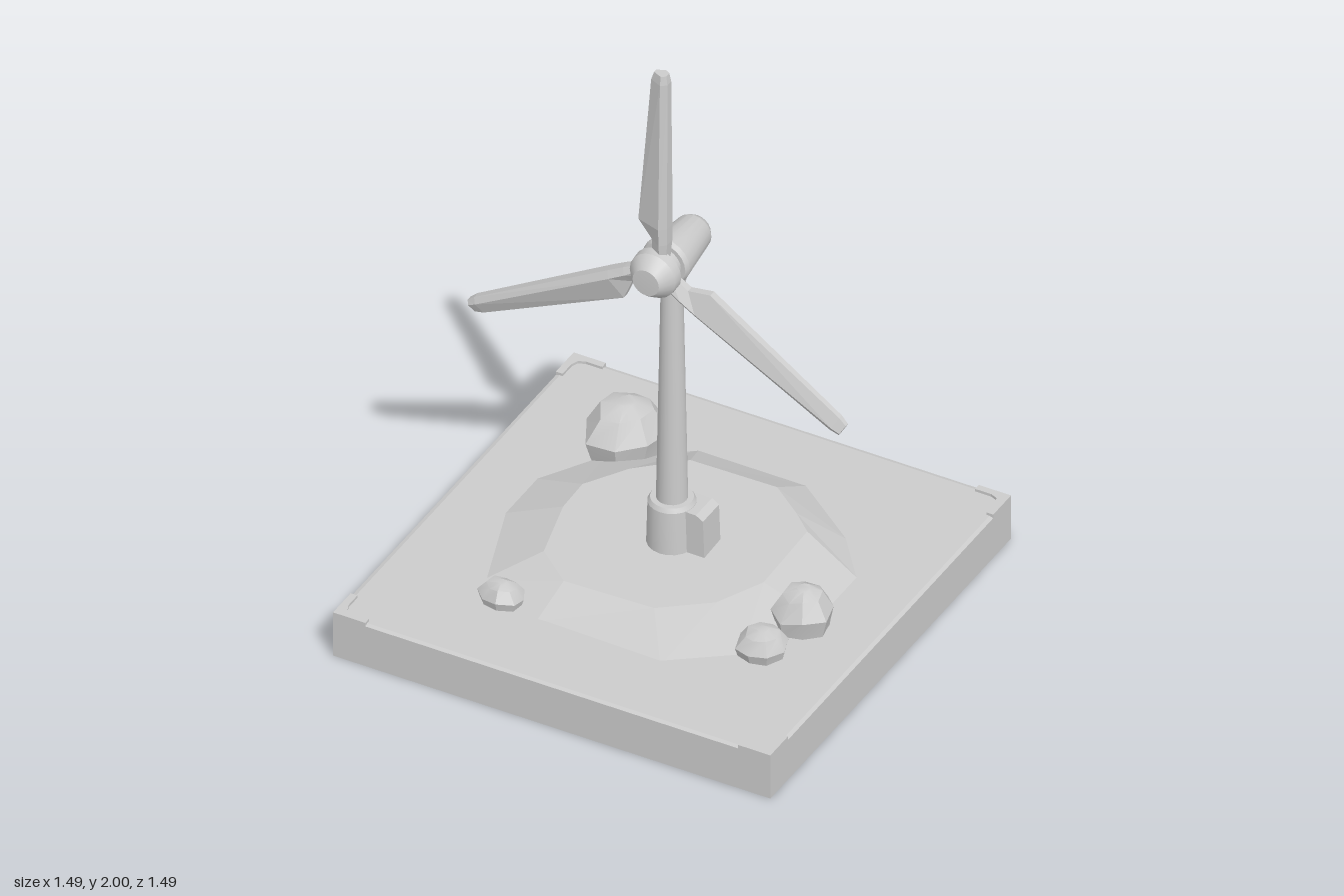
import * as THREE from 'three';
import { toCreasedNormals } from 'three/addons/utils/BufferGeometryUtils.js';

const smooth = new THREE.MeshStandardMaterial({ color: 0xcccccc });
const flat = new THREE.MeshStandardMaterial({ color: 0xcccccc, flatShading: true });

function add(parent, name, geometry, material = smooth) {
  const mesh = new THREE.Mesh(geometry, material);
  mesh.name = name;
  parent.add(mesh);
  return mesh;
}

// Skins a stack of equal-length rings, counter-clockwise about the stacking direction
function loft(rings) {
  const n = rings[0].length;
  const index = [];
  for (let r = 0; r < rings.length - 1; r++) {
    for (let i = 0; i < n; i++) {
      const a = r * n + i, b = r * n + (i + 1) % n;
      index.push(a, b, b + n, a, b + n, a + n);
    }
  }
  const last = (rings.length - 1) * n;
  for (let i = 1; i < n - 1; i++) {
    index.push(0, i + 1, i, last, last + i, last + i + 1);
  }
  const geo = new THREE.BufferGeometry();
  geo.setAttribute('position', new THREE.Float32BufferAttribute(rings.flat(2), 3));
  geo.setIndex(index);
  geo.computeVertexNormals();
  return geo;
}

// Turned solid with crisp rims; profile is [radius, height] from bottom to top
function turned(profile, sides = 20) {
  const geo = new THREE.LatheGeometry(profile.map(([r, y]) => new THREE.Vector2(r, y)), sides);
  return toCreasedNormals(geo, 0.45);
}

function extrude(points, depth) {
  const shape = new THREE.Shape(points.map(([x, y]) => new THREE.Vector2(x, y)));
  return new THREE.ExtrudeGeometry(shape, { depth, bevelEnabled: false });
}

function square(h, y) {
  return [[h, y, h], [h, y, -h], [-h, y, -h], [-h, y, h]];
}

// Faceted boulder: squashed rings with a repeatable wobble
function rock(cx, cz, rx, rz, top, seed) {
  const bottom = 0.13, sides = 8;
  const rings = [[0, 0.8], [0.2, 0.88], [0.5, 1], [0.86, 0.64], [0.99, 0.22]].map(([h, r], level) =>
    Array.from({ length: sides }, (_, i) => {
      const a = ((i + seed * 0.3) / sides) * Math.PI * 2;
      const wobble = 1 + 0.07 * Math.sin(i * 2.3 + seed * 1.7 + level * 0.4);
      const lift = level > 0 && level < 4 ? 0.06 * Math.sin(i * 1.9 + seed) : 0;
      return [cx + rx * r * wobble * Math.cos(a),
        bottom + (top - bottom) * (h + lift),
        cz - rz * r * wobble * Math.sin(a)];
    }));
  return toCreasedNormals(loft(rings), 0.5);
}

// One blade along +y: broad trailing edge on -x, thick ridge near the leading edge
function bladeGeometry() {
  const sections = [
    // height, trailing x, leading x, half thickness
    [0.03, -0.022, 0.03, 0.025],
    [0.11, -0.018, 0.036, 0.033],
    [0.17, -0.065, 0.037, 0.035],
    [0.7, -0.023, 0.035, 0.024],
    [0.73, -0.014, 0.03, 0.019],
  ];
  return loft(sections.map(([y, back, front, t]) => {
    const ridge = Math.min(0.016, front - 0.012);
    return [
      [back, y, 0.3 * t], [ridge, y, t], [front, y, 0.5 * t],
      [front, y, -0.5 * t], [ridge, y, -t], [back, y, -0.4 * t],
    ];
  }));
}

export function createModel() {
  const model = new THREE.Group();
  model.name = 'windTurbine';

  // Square plinth with a slight bevel
  add(model, 'plinth', loft([square(0.745, 0), square(0.745, 0.147), square(0.732, 0.151)]), flat);

  // Raised corner brackets with a rounded inner corner
  const bracket = extrude([
    [0.745, 0.745], [0.635, 0.745], [0.635, 0.722], [0.69, 0.722],
    [0.713, 0.713], [0.722, 0.69], [0.722, 0.635], [0.745, 0.635],
  ], 0.03).rotateX(-Math.PI / 2).translate(0, 0.13, 0);
  for (let i = 0; i < 4; i++) {
    add(model, 'cornerBracket', bracket, flat).rotation.y = i * Math.PI / 2;
  }

  // Low mound with a tilted top
  const moundFoot = [[0.18, -0.51], [-0.19, -0.51], [-0.42, -0.36], [-0.55, -0.15], [-0.55, 0.05], [-0.44, 0.37],
    [-0.2, 0.48], [0.23, 0.49], [0.42, 0.35], [0.545, 0.06], [0.545, -0.17], [0.42, -0.33]];
  const moundTop = [[0.16, -0.36], [-0.13, -0.35], [-0.27, -0.23], [-0.36, -0.1], [-0.36, 0.02], [-0.31, 0.23],
    [-0.19, 0.325], [0.11, 0.31], [0.26, 0.2], [0.34, 0.05], [0.34, -0.22], [0.27, -0.28]];
  add(model, 'mound', loft([
    moundFoot.map(([x, z]) => [x, 0.147, z]),
    moundTop.map(([x, z]) => [x, 0.216 - 0.05 * z - 0.015 * x, z]),
  ]), flat);

  // Boulders: centre x, centre z, radii, top height, seed
  [
    [-0.38, -0.41, 0.13, 0.135, 0.33, 1],
    [0.51, 0.11, 0.093, 0.1, 0.29, 2],
    [0.467, 0.287, 0.078, 0.088, 0.235, 3],
    [-0.338, 0.438, 0.075, 0.063, 0.222, 4],
  ].forEach((r) => add(model, 'boulder', rock(...r)));

  // Tower: footing, tapering mast and the collar under the nacelle
  add(model, 'towerFooting', turned([[0, 0.18], [0.079, 0.18], [0.074, 0.362], [0.066, 0.376], [0, 0.376]]));
  add(model, 'tower', turned([[0.049, 0.35], [0.034, 1.17], [0.043, 1.178], [0.043, 1.2], [0.036, 1.23]]));

  // Equipment cabinet beside the footing
  add(model, 'cabinet', extrude([[0, 0.18], [0.13, 0.18], [0.124, 0.345], [0.1, 0.36], [0, 0.362]], 0.1)
    .translate(0, 0, -0.066), flat);

  // Nacelle and rotor share the axle height
  const head = new THREE.Group();
  head.name = 'head';
  head.position.y = 1.27;
  model.add(head);
  add(head, 'nacelle', turned([
    [0, -0.172], [0.028, -0.17], [0.046, -0.157], [0.06, -0.135], [0.08, 0.035], [0.074, 0.052], [0, 0.052],
  ]).rotateX(Math.PI / 2));

  const rotor = new THREE.Group();
  rotor.name = 'rotor';
  rotor.position.z = 0.08;
  head.add(rotor);
  add(rotor, 'hub', turned([
    [0, -0.032], [0.06, -0.032], [0.06, 0], [0.08, 0.008], [0.078, 0.04], [0.055, 0.072], [0.045, 0.083], [0, 0.085],
  ]).rotateX(Math.PI / 2));
  const blade = bladeGeometry();
  for (let i = 0; i < 3; i++) {
    add(rotor, 'blade', blade, flat).rotation.z = i * Math.PI * 2 / 3;
  }
  return model;
}
